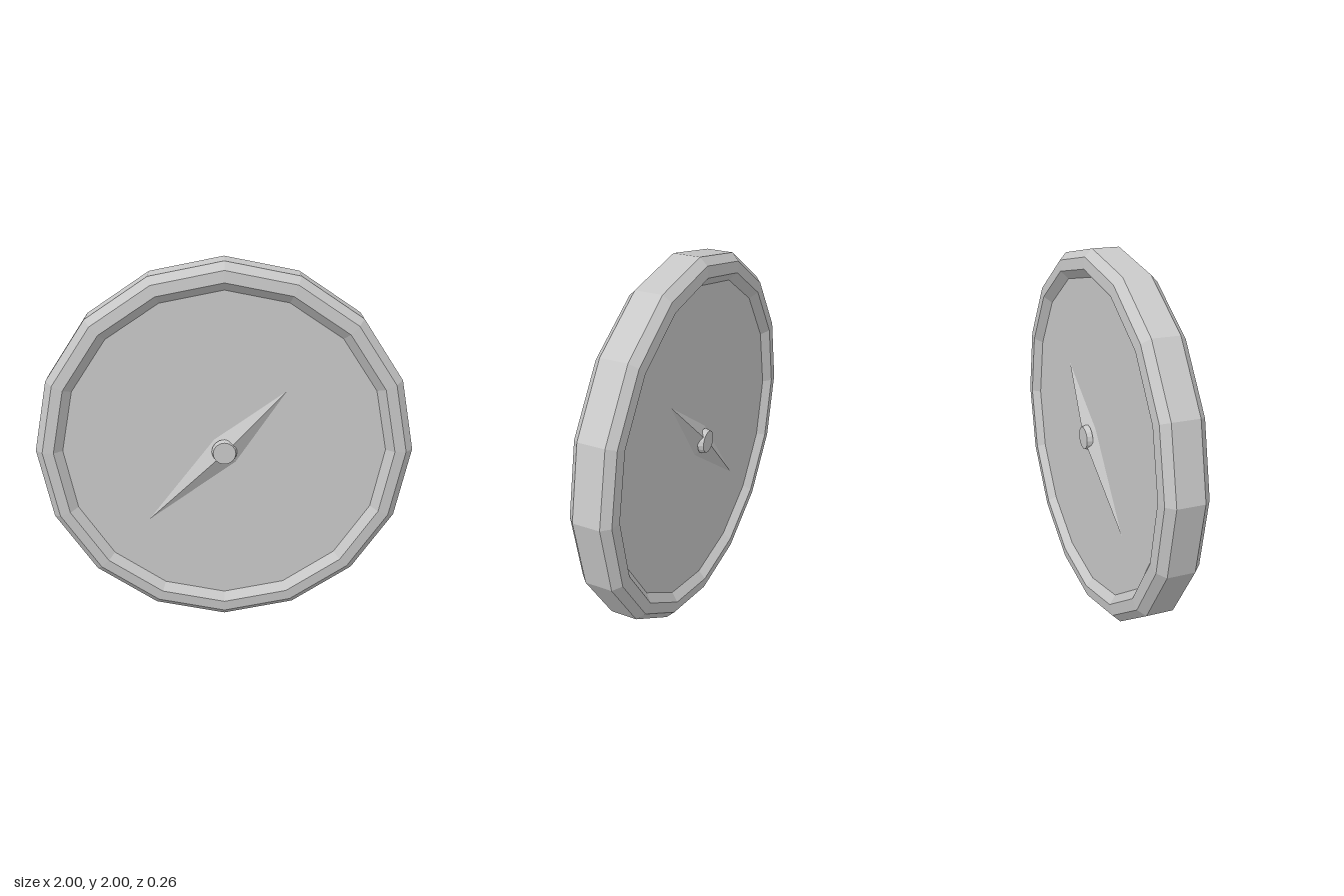
import * as THREE from 'three';

const SIDES = 16;
const FACE_Z = 0.08; // half thickness of the dial

export function createModel() {
  const group = new THREE.Group();
  const metal = new THREE.MeshStandardMaterial({ color: 0xc8c8c8, flatShading: true });
  metal.name = 'grey metal';

  const add = (name, geometry, parent = group) => {
    const mesh = new THREE.Mesh(geometry, metal);
    mesh.name = name;
    parent.add(mesh);
    return mesh;
  };

  // Bevelled ring: half profile as [radius, depth], mirrored front to back
  const half = [[1, 0.073], [0.96, 0.113], [0.9, 0.119], [0.852, 0.076]];
  const profile = [
    ...half.slice().reverse().map(([r, d]) => [r, -d]),
    ...half,
    [half[3][0], -half[3][1]],
  ].map(([r, d]) => new THREE.Vector2(r, d));
  add('ring', new THREE.LatheGeometry(profile, SIDES).rotateX(Math.PI / 2)).position.y = 1;

  // Dial filling the ring
  const dial = new THREE.CylinderGeometry(0.857, 0.857, FACE_Z * 2, SIDES).rotateX(Math.PI / 2);
  add('dial', dial).position.y = 1;

  // One needle and hub on each side; the back one swaps ends so both line up
  for (const side of [1, -1]) {
    const pointer = new THREE.Group();
    pointer.name = side > 0 ? 'frontPointer' : 'backPointer';
    pointer.position.y = 1;
    if (side < 0) pointer.rotation.y = Math.PI;
    add('needle', needleGeometry(side), pointer);
    const hub = new THREE.CylinderGeometry(0.06, 0.068, 0.03, 16).rotateX(Math.PI / 2);
    add('hub', hub, pointer).position.z = 0.115;
    group.add(pointer);
  }
  return group;
}

// Long four-sided pyramid lying on the dial, ridge highest at the hub
function needleGeometry(side) {
  const z = FACE_Z;
  const width = 0.06;
  // counter-clockwise outline: long tip, lower side, short tip, upper side
  let outline = [[-0.41, -0.405], [width, -width - 0.005], [0.325, 0.328], [-width + 0.005, width]];
  if (side < 0) outline = outline.map(([x, y]) => [-x, y]).reverse();
  const positions = [];
  outline.forEach(([x, y], i) => {
    const [nx, ny] = outline[(i + 1) % outline.length];
    positions.push(x, y, z, nx, ny, z, 0, 0, 0.128);
  });
  const geometry = new THREE.BufferGeometry();
  geometry.setAttribute('position', new THREE.Float32BufferAttribute(positions, 3));
  geometry.computeVertexNormals();
  return geometry;
}
